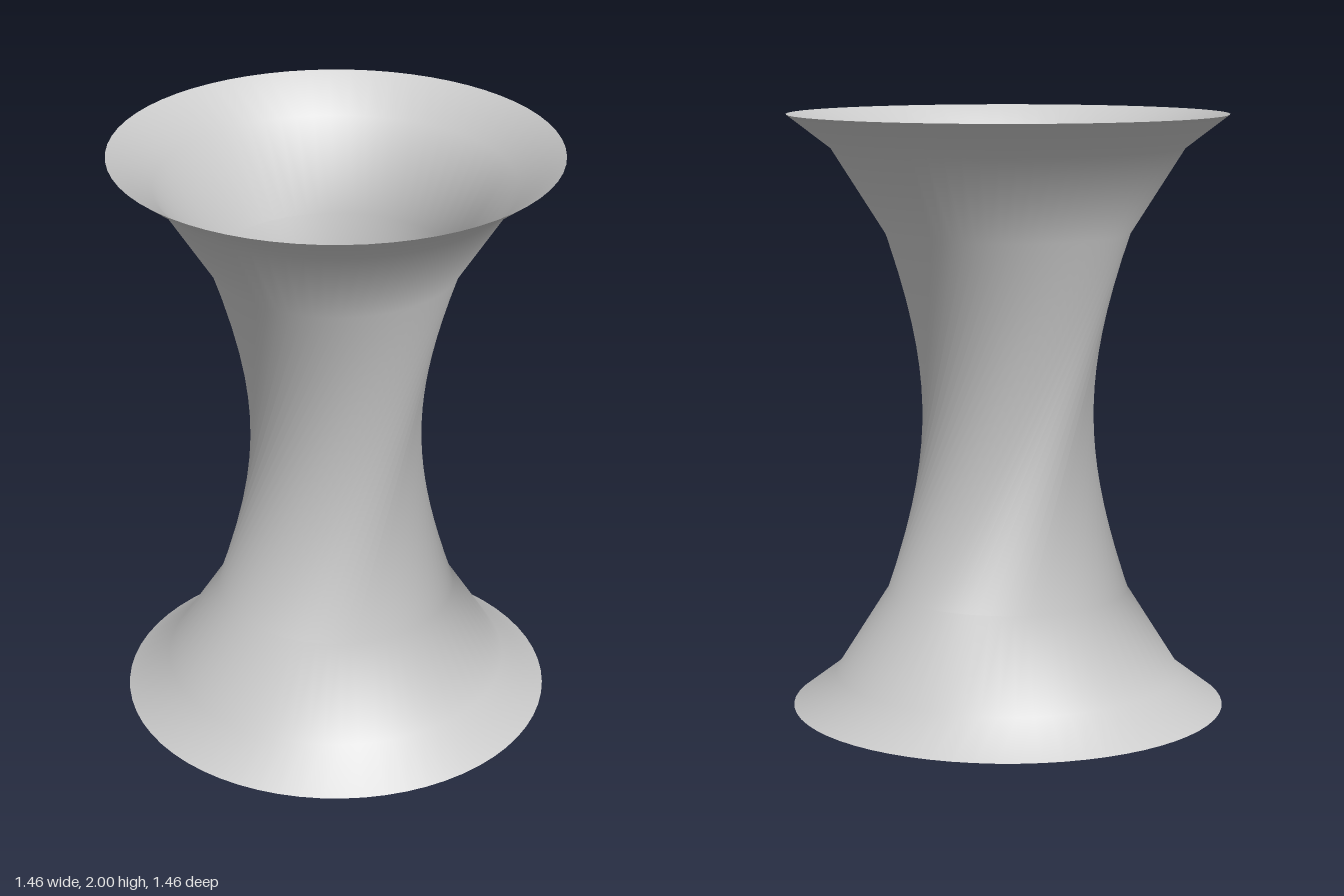
import * as THREE from 'three';

const SEGMENTS = 64;

// Rings from bottom to top: radius, height, turn about the vertical axis.
// The quarter turn across the long middle span pulls the waist in.
const RINGS = [
  [0.732, 0, 0],
  [0.588, 0.11, 0],
  [0.408, 0.395, 0],
  [0.408, 1.605, Math.PI / 2],
  [0.588, 1.89, Math.PI / 2],
  [0.732, 2, Math.PI / 2],
];

// Joins the rings into an open shell of straight rulings
function ruledShell(rings, segments) {
  const positions = [];
  const indices = [];
  rings.forEach(([radius, y, turn], row) => {
    for (let i = 0; i < segments; i++) {
      const a = (i / segments) * Math.PI * 2 + turn;
      positions.push(radius * Math.sin(a), y, radius * Math.cos(a));
      if (row === rings.length - 1) continue;
      const next = (i + 1) % segments;
      const p = row * segments + i;
      const q = row * segments + next;
      indices.push(p, q, q + segments, p, q + segments, p + segments);
    }
  });
  const geometry = new THREE.BufferGeometry();
  geometry.setAttribute('position', new THREE.Float32BufferAttribute(positions, 3));
  geometry.setIndex(indices);
  geometry.computeVertexNormals();
  return geometry;
}

export function createModel() {
  const group = new THREE.Group();
  const material = new THREE.MeshStandardMaterial({ color: 0xcccccc, side: THREE.DoubleSide });
  const shell = new THREE.Mesh(ruledShell(RINGS, SEGMENTS), material);
  shell.name = 'flaredShell';
  group.add(shell);
  return group;
}
